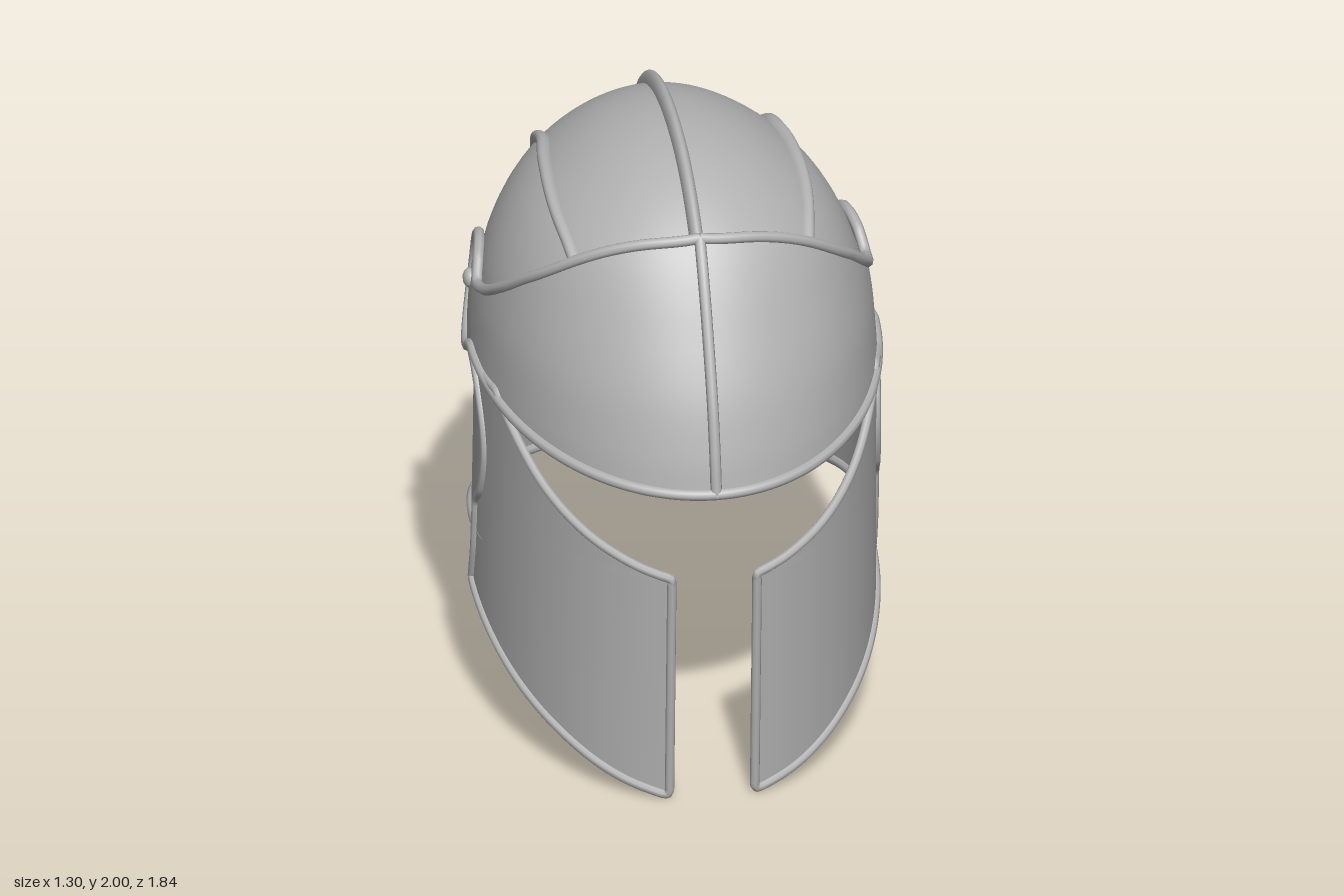
import * as THREE from 'three';

const V = (x, y, z) => new THREE.Vector3(x, y, z);
const RIM = 0.016, TOP = 1.96;

// Smooth interpolation of column k in a table sorted by its first column
function curve(table, x, k = 1) {
  const n = table.length - 1;
  x = Math.min(Math.max(x, table[0][0]), table[n][0]);
  let i = 0;
  while (i < n - 1 && x > table[i + 1][0]) i++;
  const slope = j => {
    const p = table[Math.max(j - 1, 0)], q = table[Math.min(j + 1, n)];
    return (q[k] - p[k]) / (q[0] - p[0]);
  };
  const h = table[i + 1][0] - table[i][0], t = (x - table[i][0]) / h;
  const t2 = t * t, t3 = t2 * t;
  return (2 * t3 - 3 * t2 + 1) * table[i][k] + (t3 - 2 * t2 + t) * h * slope(i)
    + (3 * t2 - 2 * t3) * table[i + 1][k] + (t3 - t2) * h * slope(i + 1);
}

// Grid surface from f(u, v), with u and v from 0 to 1
function patch(f, nu, nv) {
  const pos = [], index = [];
  for (let j = 0; j <= nv; j++) for (let i = 0; i <= nu; i++) pos.push(...f(i / nu, j / nv).toArray());
  for (let j = 0; j < nv; j++) for (let i = 0; i < nu; i++) {
    const a = j * (nu + 1) + i, b = a + nu + 1;
    index.push(a, a + 1, b + 1, a, b + 1, b);
  }
  const g = new THREE.BufferGeometry();
  g.setAttribute('position', new THREE.Float32BufferAttribute(pos, 3));
  g.setIndex(index);
  g.computeVertexNormals();
  return g;
}

const samples = (n, f) => Array.from({ length: n + 1 }, (_, i) => f(i / n));
const tube = (pts, r = RIM) =>
  new THREE.TubeGeometry(new THREE.CatmullRomCurve3(pts), pts.length * 2, r, 8, false);

function mirrored(geo) {
  const g = geo.clone().scale(-1, 1, 1), a = g.index.array;
  for (let i = 0; i < a.length; i += 3) [a[i], a[i + 1]] = [a[i + 1], a[i]];
  return g;
}

// Skull sections: height, half width, depth behind, depth in front
const skullTable = [
  [TOP, 0, 0, 0], [1.93, 0.165, 0.25, 0.24], [1.85, 0.315, 0.45, 0.42], [1.7, 0.475, 0.63, 0.6],
  [1.5, 0.575, 0.74, 0.72], [1.3, 0.607, 0.785, 0.78], [1.1, 0.612, 0.79, 0.78],
  [0.9, 0.613, 0.803, 0.78], [0.7, 0.615, 0.832, 0.78], [0.5, 0.618, 0.87, 0.78], [0.38, 0.62, 0.893, 0.78],
].map(([y, ...r]) => [Math.sqrt(TOP - y), ...r]);
const drop = y => Math.sqrt(Math.max(TOP - y, 0));
function skull(th, y) {
  const w = drop(y), c = Math.cos(th);
  return V(curve(skullTable, w, 1) * Math.sin(th), y, c * curve(skullTable, w, c > 0 ? 3 : 2));
}
function skullAngle(z, y) {
  return Math.acos(THREE.MathUtils.clamp(z / curve(skullTable, drop(y), z > 0 ? 3 : 2), -1, 1));
}
function skullNormal(th, y) {
  y = Math.min(y, TOP - 0.001);
  const e = 0.0005, du = skull(th + e, y).sub(skull(th - e, y)), dv = skull(th, y + e).sub(skull(th, y - e));
  return du.cross(dv).normalize();
}

// Raised strip with a rounded section following the skull
function strip(path, width, height) {
  const pts = path.map(([th, y]) => skull(th, y)), nor = path.map(([th, y]) => skullNormal(th, y));
  const n = pts.length - 1;
  return patch((u, v) => {
    const i = Math.round(v * n), a = Math.PI * u;
    const tan = pts[Math.min(i + 1, n)].clone().sub(pts[Math.max(i - 1, 0)]).normalize();
    const side = tan.cross(nor[i]).normalize();
    return pts[i].clone().addScaledVector(side, width * Math.cos(a))
      .addScaledVector(nor[i], height * Math.sin(a) - 0.004);
  }, 10, n);
}

// Visor sections: height, half width, front depth
const visorTable = [[1.1, 0.638, 0.897], [1.22, 0.632, 0.873], [1.4, 0.617, 0.815],
  [1.62, 0.575, 0.705], [1.75, 0.54, 0.627], [1.84, 0.5, 0.56]];
const visor = (th, y) => V(curve(visorTable, y, 1) * Math.sin(th), y, curve(visorTable, y, 2) * Math.cos(th));
const visorTopTable = [[0, 1.835], [0.4, 1.81], [0.705, 1.75], [1.07, 1.62], [1.25, 1.54], [1.44, 1.46], [1.56, 1.43], [1.64, 1.44]];
const visorTop = th => curve(visorTopTable, Math.abs(th));
const visorBottom = th => 1.105 + 0.115 * (1 - Math.cos(th));
const VEND = 1.62;

// Round hinge lobe, lying just outside the skull
const lobe = (r, a) => {
  const z = -0.15 + r * Math.cos(a), y = 1.33 + r * Math.sin(a);
  return skull(skullAngle(z, y), y).add(V(0.022, 0, 0));
};

// Cheek plate edges as z for a given height
const cheekLow = [[0.015, 0.81], [0.15, 0.6], [0.25, 0.4], [0.335, 0.2], [0.4, 0.01]];
const cheekRear = [[0.4, 0.01], [0.53, 0.05], [0.66, 0.07], [0.71, 0.08], [0.78, 0.14],
  [0.9, 0.18], [1.0, 0.17], [1.1, 0.12], [1.17, 0.06], [1.2, 0]];
const cheekTop = [[0.8, 0.86], [0.85, 0.79], [0.9, 0.71], [1.0, 0.56], [1.1, 0.43], [1.2, 0.29]];
const cheekDepth = y => 0.83 + 0.0625 * y;
const cheekAngle = (z, y) => Math.acos(z / cheekDepth(y));
const cheek = (th, y) => V(0.63 * Math.sin(th), y, cheekDepth(y) * Math.cos(th));
const cheekFront = y => cheekAngle(y < 0.8 ? cheekDepth(y) * 0.977 : curve(cheekTop, y), y);
const cheekBack = y => cheekAngle(curve(y < 0.4 ? cheekLow : cheekRear, y), y);
const cheekY = v => 0.015 + 1.185 * v;

// Neck guard lower edge, by cosine of the angle around the head
const neckTable = [[-1, 0.39], [-0.66, 0.465], [-0.33, 0.54], [0.08, 0.59], [0.385, 0.61]];
const neckBottom = th => curve(neckTable, Math.cos(th));
const NECK = 1.176, SEAM = 1.25;

export function createModel() {
  const model = new THREE.Group();
  const steel = new THREE.MeshStandardMaterial({ color: 0xb2b2b2, side: THREE.DoubleSide });
  steel.name = 'grey steel';
  const add = (name, geo) => {
    const m = new THREE.Mesh(geo, steel);
    m.name = name;
    model.add(m);
  };
  const addPair = (name, geo) => {
    add(name + 'Left', geo);
    add(name + 'Right', mirrored(geo));
  };

  // Skull cap and flared neck guard
  add('skullCap', patch((u, v) => skull(u * Math.PI * 2, TOP - (TOP - SEAM) * v * v), 80, 32));
  const neckAngle = u => NECK + u * 2 * (Math.PI - NECK);
  add('neckGuard', patch((u, v) => {
    const th = neckAngle(u);
    return skull(th, THREE.MathUtils.lerp(SEAM, neckBottom(th), v));
  }, 72, 24));
  add('neckRim', tube([
    ...samples(12, t => skull(NECK, 1.2 - 0.58 * t)),
    ...samples(70, t => skull(neckAngle(t), neckBottom(neckAngle(t)))),
    ...samples(12, t => skull(-NECK, 0.62 + 0.58 * t)),
  ]));

  // Centre crest and the two side ribs
  add('crest', strip([
    ...samples(16, t => [0, TOP - 0.24 * (1 - t) ** 2]).slice(0, -1),
    ...samples(60, t => [Math.PI, TOP - 1.57 * t * t]).slice(1),
  ], 0.022, 0.044));
  const ribLine = new THREE.SplineCurve([
    [0.44, 1.67], [0.3, 1.735], [0.1, 1.78], [-0.1, 1.79], [-0.3, 1.76], [-0.5, 1.64], [-0.62, 1.48],
    [-0.68, 1.3], [-0.7, 1.1], [-0.73, 0.85], [-0.79, 0.57], [-0.835, 0.42],
  ].map(p => new THREE.Vector2(...p)));
  addPair('sideRib', strip(ribLine.getSpacedPoints(70).map(p => [skullAngle(p.x, p.y), p.y]), 0.022, 0.03));

  // Visor with its hinge lobes and rim
  add('visor', patch((u, v) => {
    const th = (u * 2 - 1) * VEND;
    return visor(th, THREE.MathUtils.lerp(visorBottom(th), visorTop(th), v));
  }, 72, 24));
  add('visorCentreRib', tube(samples(20, t => visor(0, 1.105 + 0.73 * t)), 0.018));
  addPair('hingeLobe', patch((u, v) => lobe(0.175 * v, u * Math.PI * 2), 36, 6));
  addPair('visorRim', tube([
    ...samples(32, t => visor(t * 1.58, visorTop(t * 1.58))),
    ...samples(32, t => lobe(0.175, THREE.MathUtils.degToRad(62 + 250 * t))),
    ...samples(32, t => visor(1.55 * (1 - t), visorBottom(1.55 * (1 - t)))),
  ], 0.018));
  const pivot = skull(skullAngle(-0.15, 1.37), 1.37);
  addPair('pivot', new THREE.SphereGeometry(0.032, 20, 12).scale(0.7, 1, 1).translate(pivot.x + 0.024, 1.37, -0.15));

  // Cheek plates with a rim around each
  addPair('cheekPlate', patch((u, v) => {
    const y = cheekY(v);
    return cheek(THREE.MathUtils.lerp(cheekFront(y), cheekBack(y), u), y);
  }, 20, 120));
  addPair('cheekRim', tube([
    ...samples(79, t => cheek(cheekBack(cheekY(1 - t)), cheekY(1 - t))),
    ...samples(79, t => cheek(cheekFront(cheekY(t)), cheekY(t))).slice(1),
    ...samples(8, t => cheek(cheekAngle(0.29 * (1 - t), 1.2), 1.2)).slice(1, -1),
  ], 0.015));

  return model;
}
